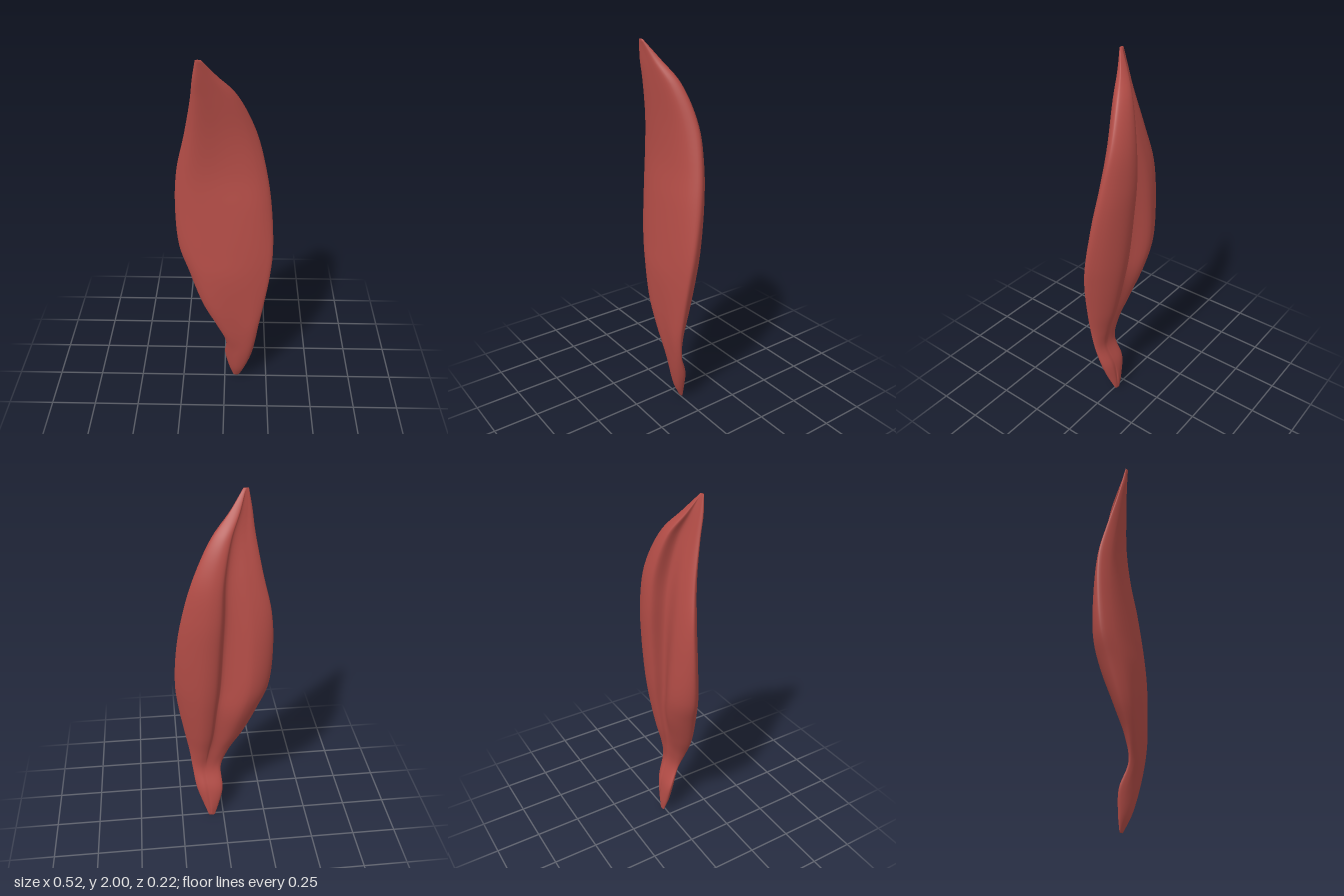
import * as THREE from 'three';

// Cross-sections from bottom to top:
// [y, xLeft, xRight, zLeftEdge, frontLeft, frontMid, frontRight, zRightEdge, backRightLobe, backGroove, backLeftLobe]
const tip = (y, xl, xr, z) => [y, xl, xr, z, z + 0.004, z + 0.006, z + 0.004, z, z - 0.004, z - 0.006, z - 0.004];
const SECTIONS = [
  tip(0, 0.052, 0.088, -0.01),
  [0.08, 0.027, 0.117, 0, 0.018, 0.035, 0.03, 0.01, -0.015, -0.02, -0.017],
  [0.2, 0.002, 0.155, 0.01, 0.04, 0.066, 0.06, 0.03, -0.004, -0.005, -0.006],
  [0.33, 0.008, 0.175, 0.06, 0.08, 0.088, 0.085, 0.065, 0.04, 0.04, 0.042],
  [0.45, -0.04, 0.19, 0.075, 0.095, 0.1, 0.1, 0.08, 0.025, 0.035, 0.035],
  [0.6, -0.12, 0.215, 0.06, 0.098, 0.108, 0.1, 0.08, -0.015, 0.01, -0.002],
  [0.8, -0.195, 0.245, 0.025, 0.085, 0.11, 0.092, 0.07, -0.055, -0.02, -0.06],
  [0.95, -0.245, 0.257, 0.005, 0.065, 0.096, 0.08, 0.05, -0.078, -0.025, -0.08],
  [1.2, -0.26, 0.243, -0.01, 0.045, 0.068, 0.05, 0.005, -0.1, -0.03, -0.068],
  [1.4, -0.245, 0.21, -0.01, 0.04, 0.045, 0.02, -0.025, -0.11, -0.028, -0.045],
  [1.6, -0.2, 0.155, 0.02, 0.055, 0.045, 0.01, -0.04, -0.095, -0.01, -0.008],
  [1.8, -0.162, 0.058, 0.064, 0.082, 0.068, 0.038, -0.005, -0.038, 0.024, 0.043],
  [1.91, -0.148, -0.037, 0.088, 0.099, 0.09, 0.073, 0.045, 0.035, 0.058, 0.072],
  tip(2, -0.132, -0.105, 0.1),
];

// Control points around one section, left edge -> front -> right edge -> back
function ring([y, xl, xr, zL, fl, fm, fr, zR, br, bg, bl]) {
  const p = (u, z) => new THREE.Vector3(xl + (xr - xl) * u, y, z);
  const mix = THREE.MathUtils.lerp;
  return [
    p(0, zL), p(0.13, fl), p(0.5, fm), p(0.88, fr), p(1, zR),
    p(0.92, mix(zR, br, 0.55)), p(0.72, br), p(0.575, mix(bg, br, 0.88)),
    p(0.515, bg), p(0.24, bl), p(0.06, mix(zL, bl, 0.6)),
  ];
}

// Smooth skin through the sections, closed at both tips
function loftGeometry(sections, rows, cols) {
  const rings = sections.map(ring);
  const rails = rings[0].map((_, k) => new THREE.CatmullRomCurve3(rings.map((r) => r[k])));
  const positions = [];
  const indices = [];
  for (let i = 0; i <= rows; i++) {
    const loop = new THREE.CatmullRomCurve3(rails.map((c) => c.getPoint(i / rows)), true);
    for (let j = 0; j < cols; j++) positions.push(...loop.getPoint(j / cols).toArray());
  }
  for (let i = 0; i < rows; i++) {
    for (let j = 0; j < cols; j++) {
      const a = i * cols + j;
      const b = i * cols + ((j + 1) % cols);
      indices.push(a, b, b + cols, a, b + cols, a + cols);
    }
  }
  // Tip fans
  const last = rows * cols;
  for (let j = 1; j < cols - 1; j++) {
    indices.push(0, j + 1, j, last, last + j, last + j + 1);
  }
  const geometry = new THREE.BufferGeometry();
  geometry.setAttribute('position', new THREE.Float32BufferAttribute(positions, 3));
  geometry.setIndex(indices);
  geometry.computeVertexNormals();
  return geometry;
}

export function createModel() {
  const muscleRed = new THREE.MeshStandardMaterial({ color: 0xb24c46 });
  muscleRed.name = 'muscleRed';

  const belly = new THREE.Mesh(loftGeometry(SECTIONS, 78, 66), muscleRed);
  belly.name = 'muscleBelly';

  const model = new THREE.Group();
  model.name = 'muscle';
  model.add(belly);
  return model;
}
